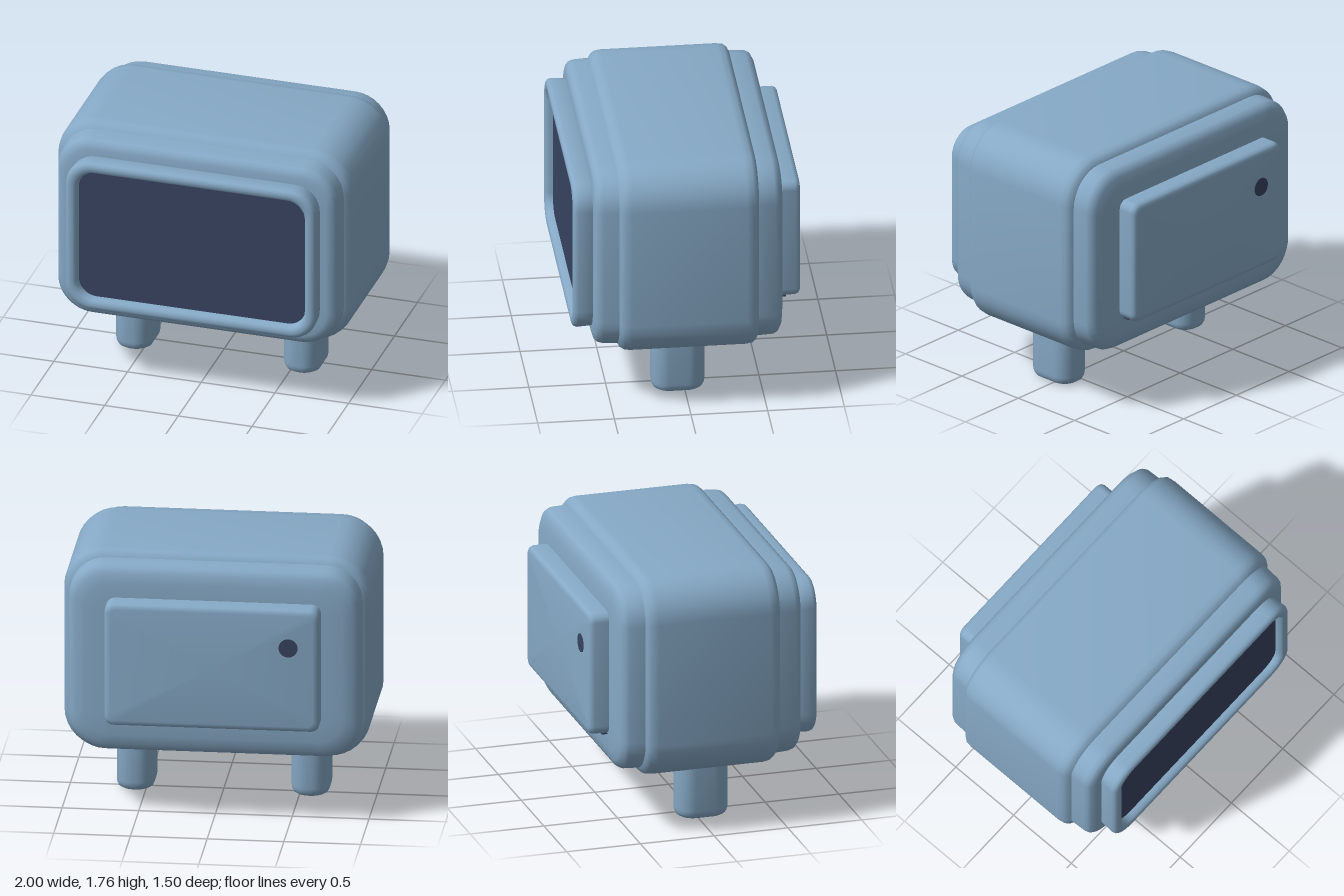
import * as THREE from 'three';
import { toCreasedNormals } from 'three/addons/utils/BufferGeometryUtils.js';

const CORNER_STEPS = 8;

// Closed ring of a rounded rectangle, counter-clockwise seen from +z
function roundedRing(hw, hh, r) {
  const pts = [];
  [[1, 1], [-1, 1], [-1, -1], [1, -1]].forEach(([sx, sy], q) => {
    for (let i = 0; i <= CORNER_STEPS; i++) {
      const a = (q + i / CORNER_STEPS) * Math.PI / 2;
      pts.push([sx * (hw - r) + r * Math.cos(a), sy * (hh - r) + r * Math.sin(a)]);
    }
  });
  return pts;
}

// Loft of rounded rectangles along z; each section is [z, inset]
function loft(hw, hh, radius, sections, taper = 0.65) {
  const pos = [], index = [];
  const n = 4 * (CORNER_STEPS + 1);
  for (const [z, inset] of sections) {
    const r = Math.max(radius - taper * inset, 0.01);
    for (const [x, y] of roundedRing(hw - inset, hh - inset, r)) pos.push(x, y, z);
  }
  const last = (sections.length - 1) * n;
  const backCentre = pos.length / 3, frontCentre = backCentre + 1;
  pos.push(0, 0, sections[0][0], 0, 0, sections[sections.length - 1][0]);
  for (let i = 0; i < n; i++) {
    const j = (i + 1) % n;
    for (let k = 0; k < last; k += n) {
      index.push(k + i, k + j, k + n + j, k + i, k + n + j, k + n + i);
    }
    index.push(backCentre, j, i, frontCentre, last + i, last + j);
  }
  const g = new THREE.BufferGeometry();
  g.setAttribute('position', new THREE.Float32BufferAttribute(pos, 3));
  g.setIndex(index);
  return toCreasedNormals(g, 0.9);
}

export function createModel() {
  const model = new THREE.Group();
  model.name = 'television';

  const shellBlue = new THREE.MeshStandardMaterial({ color: 0x86a9c6 });
  shellBlue.name = 'shellBlue';
  const darkNavy = new THREE.MeshStandardMaterial({ color: 0x37435f });
  darkNavy.name = 'darkNavy';

  const add = (name, geometry, material, x, y, z) => {
    const mesh = new THREE.Mesh(geometry, material);
    mesh.name = name;
    mesh.position.set(x, y, z);
    model.add(mesh);
    return mesh;
  };

  const midY = 1.075;

  // Stepped cabinet, from the back wall to the front step
  add('cabinet', loft(1, 0.685, 0.27, [
    [-0.62, 0.26], [-0.615, 0.16], [-0.605, 0.1], [-0.585, 0.065], [-0.555, 0.05],
    [-0.45, 0.045], [-0.44, 0.025], [-0.415, 0.006], [-0.37, 0],
    [0.38, 0], [0.42, 0.006], [0.445, 0.022], [0.46, 0.045],
    [0.56, 0.05], [0.59, 0.058], [0.61, 0.078], [0.62, 0.11], [0.622, 0.17],
  ]), shellBlue, 0, midY, 0);

  // Raised screen surround with rounded lip and recess
  add('bezel', loft(1, 0.685, 0.27, [
    [0.6, 0.165], [0.63, 0.155], [0.715, 0.15], [0.735, 0.156], [0.746, 0.168],
    [0.75, 0.185], [0.748, 0.205], [0.738, 0.22], [0.715, 0.23], [0.67, 0.234],
  ]), shellBlue, 0, midY, 0);

  // Screen glass
  add('screen', loft(0.768, 0.453, 0.12, [[0.69, 0], [0.698, 0]]), darkNavy, 0, midY + 0.003, 0);

  // Rear panel
  add('backPanel', loft(0.7, 0.42, 0.06, [
    [-0.75, 0.04], [-0.747, 0.022], [-0.737, 0.008], [-0.715, 0], [-0.6, 0],
  ], 0.5), shellBlue, 0, 1.08, 0);

  // Dark gap below the rear panel and round socket on it
  add('panelGap', new THREE.BoxGeometry(1.33, 0.008, 0.04), darkNavy, 0, 0.657, -0.638);
  const socket = add('socket', new THREE.CylinderGeometry(0.062, 0.062, 0.008, 24),
    darkNavy, -0.5, 1.24, -0.75);
  socket.rotation.x = Math.PI / 2;

  // Two stubby legs
  const legGeometry = loft(0.125, 0.175, 0.11, [
    [0, 0.05], [0.004, 0.032], [0.016, 0.014], [0.035, 0.004], [0.06, 0], [0.46, 0],
  ], 0.7);
  for (const side of [1, -1]) {
    const leg = add(side > 0 ? 'leftLeg' : 'rightLeg', legGeometry, shellBlue, side * 0.57, 0, 0.04);
    leg.rotation.x = -Math.PI / 2;
  }

  return model;
}
